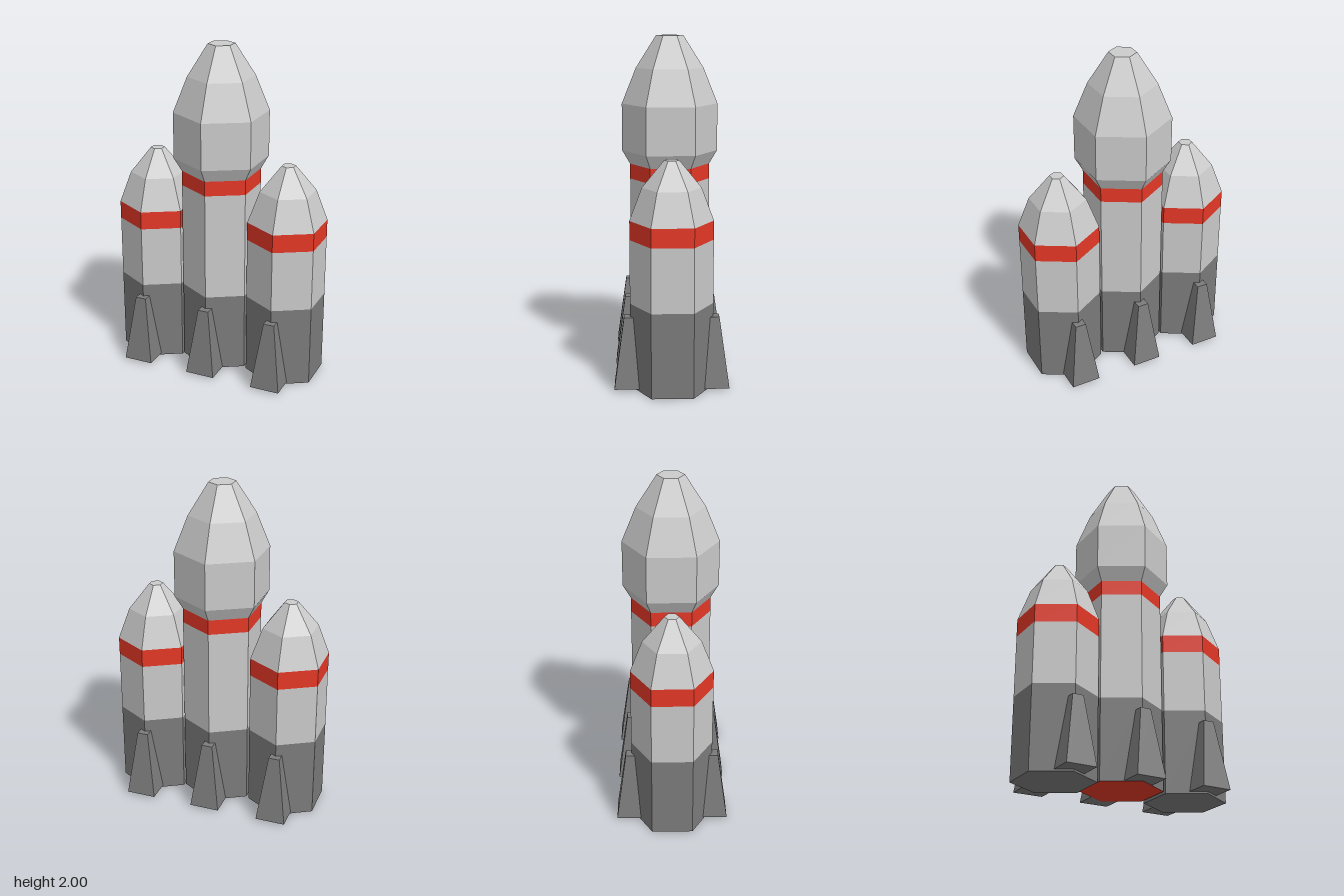
import * as THREE from 'three';

const paint = (color) => new THREE.MeshStandardMaterial({ color, flatShading: true });
const grey = paint(0xcccccc);
const dark = paint(0x7c7c7c);
const red = paint(0xe63826);

function addMesh(parent, name, geometry, material) {
  const mesh = new THREE.Mesh(geometry, material);
  mesh.name = name;
  parent.add(mesh);
  return mesh;
}

// Hexagonal body stacked from sections [name, top y, top radius, material]
function hexBody(name, y0, r0, baseMaterial, sections) {
  const body = new THREE.Group();
  body.name = name;
  const base = addMesh(body, 'basePlate', new THREE.CircleGeometry(r0, 6, Math.PI / 2), baseMaterial);
  base.rotation.x = Math.PI / 2;
  base.position.y = y0;
  let y = y0, r = r0;
  for (const [part, y1, r1, material] of sections) {
    const section = addMesh(body, part, new THREE.CylinderGeometry(r1, r, y1 - y, 6, 1, true), material);
    section.position.y = (y + y1) / 2;
    y = y1;
    r = r1;
  }
  const tip = addMesh(body, 'tipPlate', new THREE.CircleGeometry(r, 6, Math.PI / 2), grey);
  tip.rotation.x = -Math.PI / 2;
  tip.position.y = y;
  return body;
}

// Tapered square fins on the front and back edges of a body
function addFins(body) {
  for (const side of [1, -1]) {
    const geometry = new THREE.CylinderGeometry(0.033 * Math.SQRT2, 0.09 * Math.SQRT2, 0.41, 4);
    geometry.rotateY(Math.PI / 4);
    const fin = addMesh(body, side > 0 ? 'frontFin' : 'backFin', geometry, dark);
    fin.position.set(0, 0.217, 0.24 * side);
  }
}

export function createModel() {
  const rocket = new THREE.Group();
  rocket.name = 'rocket';

  // Central stage with its wider nose fairing
  const core = hexBody('coreStage', 0.01, 0.237, red, [
    ['engineSkirt', 0.497, 0.237, dark],
    ['tank', 1.15, 0.237, grey],
    ['redBand', 1.24, 0.237, red],
    ['fairingFlare', 1.32, 0.284, grey],
    ['fairing', 1.6, 0.284, grey],
    ['lowerNose', 1.81, 0.2, grey],
    ['upperNose', 2, 0.08, grey],
  ]);
  addFins(core);
  rocket.add(core);

  // Side boosters
  for (const side of [1, -1]) {
    const booster = hexBody(side > 0 ? 'leftBooster' : 'rightBooster', 0, 0.239, dark, [
      ['engineSkirt', 0.497, 0.239, dark],
      ['tank', 0.87, 0.239, grey],
      ['redBand', 0.98, 0.239, red],
      ['lowerNose', 1.17, 0.168, grey],
      ['upperNose', 1.325, 0.042, grey],
    ]);
    addFins(booster);
    booster.position.x = 0.426 * side;
    rocket.add(booster);
  }
  return rocket;
}
